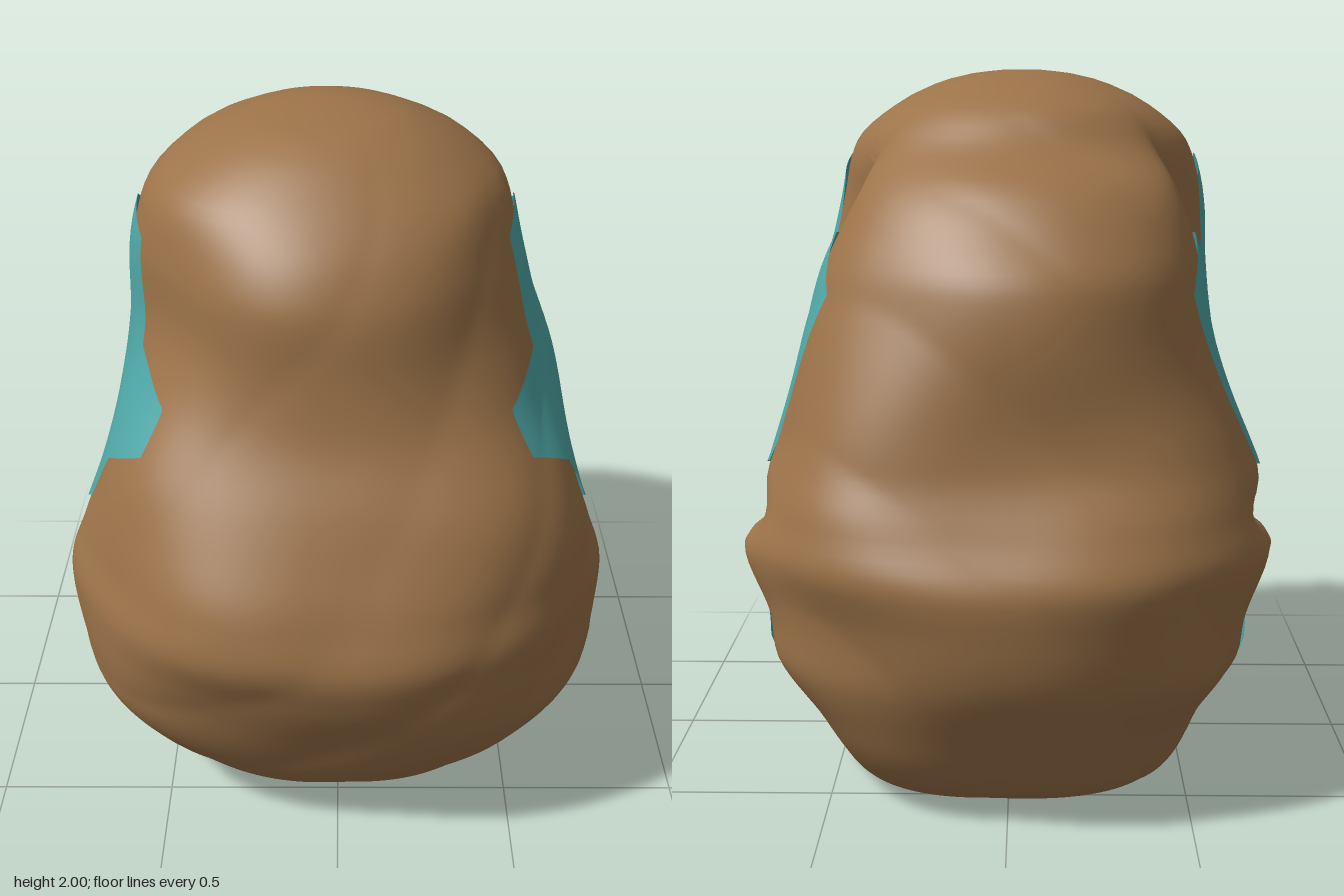
import * as THREE from 'three';

const { smoothstep, lerp } = THREE.MathUtils;

// Profile rows, bottom to top: y, half width, front z, back z
const PROFILE = [
  [0, 0.48, 0.31, -0.38], [0.02, 0.55, 0.44, -0.54], [0.05, 0.57, 0.53, -0.63],
  [0.12, 0.615, 0.61, -0.7], [0.25, 0.7, 0.73, -0.78], [0.45, 0.82, 0.83, -0.87],
  [0.6, 0.815, 0.89, -0.9], [0.72, 0.805, 0.92, -0.92], [0.85, 0.75, 0.88, -0.86],
  [1.0, 0.69, 0.81, -0.785], [1.12, 0.655, 0.76, -0.765], [1.3, 0.615, 0.68, -0.755],
  [1.45, 0.585, 0.64, -0.735], [1.6, 0.56, 0.62, -0.65], [1.7, 0.535, 0.585, -0.56],
  [1.8, 0.49, 0.52, -0.4], [1.9, 0.37, 0.41, -0.3], [1.96, 0.25, 0.3, -0.17],
  [1.99, 0.14, 0.17, -0.08], [2, 0.05, 0.06, 0],
];

// Smooth blend between rows without overshoot
function profileAt(y) {
  let i = 0;
  while (i < PROFILE.length - 2 && y > PROFILE[i + 1][0]) i++;
  const a = PROFILE[i], b = PROFILE[i + 1], h = b[0] - a[0], t = (y - a[0]) / h;
  const slope = (r, k) => (PROFILE[r + 1][k] - PROFILE[r][k]) / (PROFILE[r + 1][0] - PROFILE[r][0]);
  const tangent = (r, k) => {
    if (r === 0) return slope(0, k);
    if (r === PROFILE.length - 1) return slope(r - 1, k);
    const s = slope(r - 1, k), q = slope(r, k);
    return s * q > 0 ? 2 * s * q / (s + q) : 0;
  };
  const e = t * t * (3 - 2 * t);
  return a.map((v, k) => v + (b[k] - v) * e
    + h * t * (1 - t) * ((1 - t) * tangent(i, k) - t * tangent(i + 1, k)));
}

// Soft rocky lumps, roughly -1 to 1
function lumps(x, y, z) {
  return 0.45 * Math.sin(6 * x + 8 * y + 3 * z) + 0.45 * Math.sin(9 * z - 7 * y + 4 * x + 1)
    + 0.5 * (Math.abs(Math.sin(5 * z + 6 * y - 6 * x)) - 0.6);
}

// Point on the rock for a height, a fraction u from back (-1) to front (1) and a side
function surface(y, u, side) {
  const [, w, front, back] = profileAt(y);
  const z = (front + back) / 2 + (front - back) / 2 * u;
  // Squarer shoulders at mid height, rounder towards the crown
  const power = 2.3 + 0.7 * Math.exp(-(((y - 1.02) / 0.2) ** 2)) - 0.25 * smoothstep(y, 1.2, 1.6);
  let x = w * Math.pow(Math.max(0, 1 - Math.pow(Math.abs(u), power)), 1 / power);
  // Upright cleft on each side, wider low down, between the front and back lobes
  const low = 1 - smoothstep(y, 0.7, 1.0);
  const seam = -0.045 - 0.13 * smoothstep(y, 0.8, 1.85);
  const fade = smoothstep(y, 0.02, 0.3) * (1 - smoothstep(y, 1.6, 1.95));
  x *= 1 - lerp(0.3, 0.33, low) * fade * Math.exp(-Math.abs(z - seam) / lerp(0.11, 0.15, low));
  // Level cleft across the back lobe, which tucks in below it
  const reach = smoothstep(-z, 0, 0.1) * (1 - smoothstep(-z, 0.3, 0.6));
  x *= 1 - 0.12 * reach * Math.exp(-(((y - 0.81) / 0.06) ** 2));
  x *= 1 - 0.11 * smoothstep(-z, 0, 0.12) * (1 - 0.6 * smoothstep(-z, 0.35, 0.7)) * (1 - smoothstep(y, 0.5, 0.75));
  const n = lumps(side * x, y, z);
  // The upper part leans a little to one side
  const lean = -0.03 * smoothstep(y, 1.3, 1.7);
  return new THREE.Vector3(side * x * (1 + 0.022 * n) + lean, y, z + 0.018 * n * u * Math.min(1, w * 2));
}

function geometryFrom(points, index) {
  const g = new THREE.BufferGeometry().setFromPoints(points);
  g.setIndex(index);
  g.computeVertexNormals();
  return g;
}

// Whole rock, built from stacked rings
function rockGeometry() {
  const seg = 180, points = [], index = [];
  const heights = [];
  PROFILE.forEach(([y], i) => {
    if (!i) return heights.push(y);
    const y0 = PROFILE[i - 1][0], steps = Math.max(2, Math.round((y - y0) / 0.025));
    for (let k = 1; k <= steps; k++) heights.push(y0 + (y - y0) * k / steps);
  });
  heights.forEach((y, i) => {
    for (let j = 0; j < seg; j++) {
      const t = j / seg * Math.PI * 2, c = Math.cos(t);
      points.push(surface(y, Math.sign(c) * Math.pow(Math.abs(c), 0.9), j < seg / 2 ? 1 : -1));
      if (i === heights.length - 1) continue;
      const a = i * seg + j, b = i * seg + (j + 1) % seg;
      index.push(a, b, a + seg, b, b + seg, a + seg);
    }
  });
  // Close the base and the crown
  const base = points.length, last = (heights.length - 1) * seg;
  points.push(new THREE.Vector3(0, 0, 0), new THREE.Vector3(-0.03, 2, 0.03));
  for (let j = 0; j < seg; j++) {
    const k = (j + 1) % seg;
    index.push(base, k, j, base + 1, last + j, last + k);
  }
  return geometryFrom(points, index);
}

// Patch outlines as z, y pairs
const PATCHES = {
  upperFrontPatch: [[0.28, 1.69], [0.13, 1.76], [0, 1.7], [-0.01, 1.52], [-0.07, 1.38], [-0.02, 1.1],
    [0.05, 0.92], [0.2, 0.85], [0.38, 0.96], [0.42, 1.1], [0.55, 1.18], [0.51, 1.3], [0.33, 1.4], [0.31, 1.52]],
  upperBackPatch: [[-0.22, 1.56], [-0.34, 1.57], [-0.48, 1.42], [-0.42, 0.95], [-0.2, 0.89], [-0.09, 1.04], [-0.13, 1.36]],
  smallFrontPatch: [[0.07, 0.84], [-0.03, 0.74], [0, 0.58], [0.1, 0.6], [0.17, 0.68]],
  lowerBackPatch: [[-0.1, 0.7], [-0.32, 0.68], [-0.46, 0.46], [-0.28, 0.13], [-0.16, 0.14], [-0.03, 0.35], [-0.03, 0.48]],
};

// Thin patch that follows the rock, in loops growing from its middle
function patchGeometry(outline, side) {
  const split = 8, loops = 14, rim = [], points = [], index = [];
  outline.forEach((p, i) => {
    const q = outline[(i + 1) % outline.length];
    for (let k = 0; k < split; k++) rim.push([0, 1].map((d) => p[d] + (q[d] - p[d]) * k / split));
  });
  const mid = [0, 1].map((d) => rim.reduce((s, p) => s + p[d], 0) / rim.length);
  const n = rim.length;
  for (let l = 0; l <= loops; l++) {
    rim.forEach((p, j) => {
      const [z, y] = [0, 1].map((d) => mid[d] + (p[d] - mid[d]) * Math.max(l, 0.01) / loops);
      const [, , front, back] = profileAt(y);
      const v = surface(y, (z - (front + back) / 2) / ((front - back) / 2), side);
      v.x += side * 0.009;
      points.push(v);
      if (l === loops) return;
      const a = l * n + j, b = l * n + (j + 1) % n;
      if (side > 0) index.push(a, a + n, b, b, a + n, b + n);
      else index.push(a, b, a + n, b, b + n, a + n);
    });
  }
  return geometryFrom(points, index);
}

export function createModel() {
  const brown = new THREE.MeshStandardMaterial({ color: 0x9c7349, name: 'brown rock' });
  const teal = new THREE.MeshStandardMaterial({ color: 0x4fa6a6, name: 'teal mineral', side: THREE.DoubleSide });
  const model = new THREE.Group();
  model.name = 'boulder';

  const rock = new THREE.Mesh(rockGeometry(), brown);
  rock.name = 'rock';
  model.add(rock);

  // Mineral patches on both flanks
  for (const side of [1, -1]) {
    const flank = new THREE.Group();
    flank.name = side > 0 ? 'leftPatches' : 'rightPatches';
    for (const [name, outline] of Object.entries(PATCHES)) {
      const patch = new THREE.Mesh(patchGeometry(outline, side), teal);
      patch.name = name;
      flank.add(patch);
    }
    model.add(flank);
  }
  return model;
}
